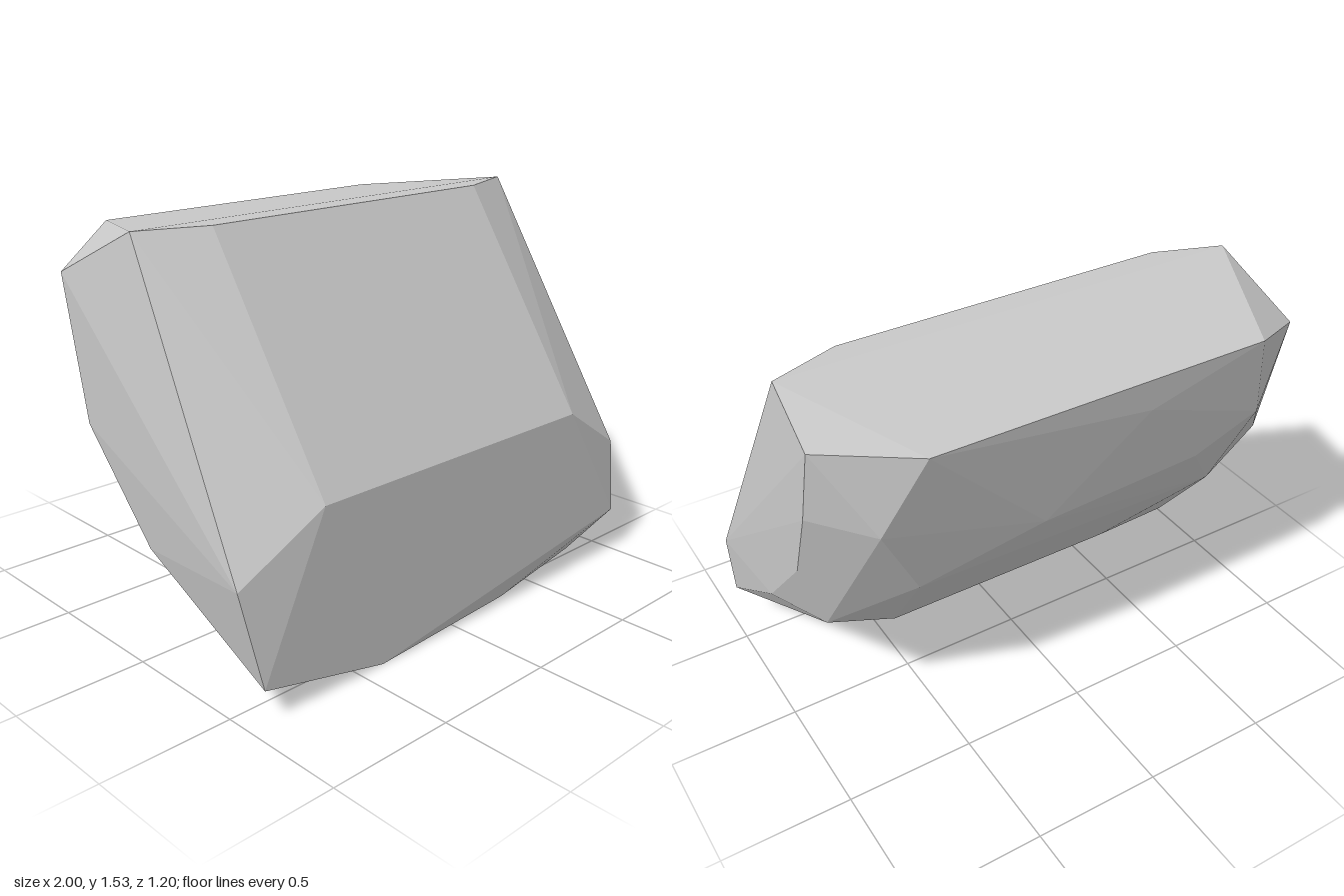
import * as THREE from 'three';
import { ConvexGeometry } from 'three/addons/geometries/ConvexGeometry.js';

// Faceted stone block: flat front, sloped upper front, flat top and a chipped, bulging back
export function createModel() {
  const group = new THREE.Group();
  const stone = new THREE.MeshStandardMaterial({ color: 0xc8c8c8 });
  stone.name = 'lightGreyStone';

  // front and top rims, nearly mirrored
  const rims = [];
  for (const s of [-1, 1]) {
    rims.push([s * 0.66, 0.69, 0.6], [s * 0.66, 1.53, 0.05], [s * 0.66, 1.465, -0.6],
      [s * 0.925, 1.53, -0.045], [s, 0.48, 0.56]);
  }
  // lower front edge and underside
  const base = [
    [-0.93, 0.12, 0.6], [-0.39, 0, 0.6], [0.98, 0.19, 0.6],
    [-0.65, 0.035, 0.54], [0.3, 0.01, 0.57], [0.77, 0.05, 0.53], [-0.22, 0.06, 0.42],
  ];
  // chipped side corners
  const sides = [
    [-0.98, 1.35, -0.4], [-0.975, 0.82, -0.29], [-0.96, 0.44, 0.03],
    [0.97, 1.47, -0.39], [0.987, 1.19, -0.34], [0.99, 0.9, -0.23], [0.995, 0.56, 0.08],
    [0.8, 1.15, -0.51], [0.9, 0.6, -0.21], [0.62, 0.2, 0.29],
  ];
  // bulging back, top to bottom
  const back = [
    [-0.2, 1.33, -0.583], [-0.74, 1.11, -0.53], [-0.49, 0.98, -0.5], [0.16, 0.94, -0.49],
    [0.63, 0.8, -0.42], [-0.65, 0.76, -0.4], [0.64, 0.5, -0.22], [-0.29, 0.49, -0.21],
    [0.08, 0.43, -0.15], [0.4, 0.4, -0.12], [-0.68, 0.39, -0.1], [-0.05, 0.28, 0],
    [0.15, 0.2, 0.13], [-0.38, 0.2, 0.13],
  ];

  const points = [...rims, ...base, ...sides, ...back].map((p) => new THREE.Vector3(...p));
  const rock = new THREE.Mesh(new ConvexGeometry(points), stone);
  rock.name = 'rock';
  group.add(rock);
  return group;
}
